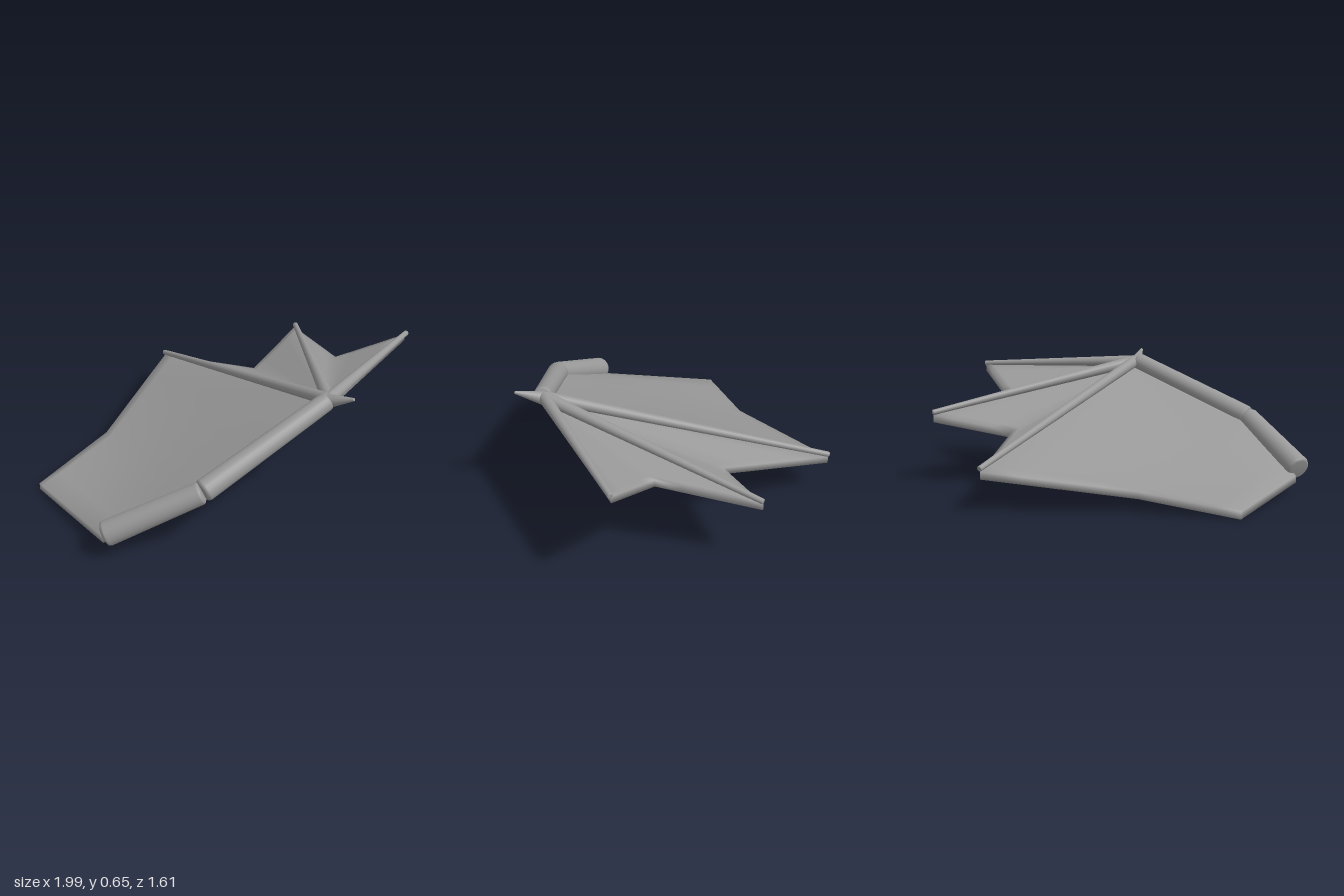
import * as THREE from 'three';

const V = (x, y, z) => new THREE.Vector3(x, y, z);

// Corner points on the upper face of the wing skin
const shoulder = V(-0.96, 0.10, 0.39);
const elbow = V(-0.56, 0.33, 0.62);
const wrist = V(0.16, 0.57, 0.66);
const frontEdge = [shoulder, elbow, wrist, wrist, wrist, wrist, wrist];
const rearEdge = [
  V(-0.96, 0.04, -0.255), V(-0.48, 0.105, -0.39), V(0.16, 0.20, -0.795),
  V(0.385, 0.295, -0.23), V(0.795, 0.365, -0.385), V(0.675, 0.43, 0.12), V(0.985, 0.56, 0.32),
];

// Closed thin skin between the front and rear edges, hanging slightly between arm and last finger
function membraneGeometry(thickness, sag) {
  const columns = [];
  for (let s = 0; s < rearEdge.length - 1; s++)
    for (const u of [0, 0.25, 0.5, 0.75])
      columns.push({
        a: frontEdge[s].clone().lerp(frontEdge[s + 1], u),
        b: rearEdge[s].clone().lerp(rearEdge[s + 1], u),
        drop: s < 2 ? sag * Math.sin(Math.PI * (s + u) / 2) : 0,
      });
  columns.push({ a: frontEdge.at(-1), b: rearEdge.at(-1), drop: 0 });

  const rows = [0, 0.03, 0.2, 0.4, 0.6, 0.8, 0.95, 1];
  const n = rows.length, ring = n * 2;
  const positions = [], index = [];
  for (const { a, b, drop } of columns) {
    const top = rows.map((v) => {
      const p = a.clone().lerp(b, v);
      p.y -= drop * Math.sin(Math.PI * v);
      return p;
    });
    for (const p of top) positions.push(p.x, p.y, p.z);
    for (const p of top.reverse()) positions.push(p.x, p.y - thickness, p.z);
  }
  const quad = (a, b, c, d) => index.push(a, b, c, b, d, c);
  for (let i = 0; i < columns.length - 1; i++)
    for (let k = 0; k < ring; k++) {
      const k2 = (k + 1) % ring, p = i * ring, q = p + ring;
      quad(p + k, q + k, p + k2, q + k2);
    }
  // End rims
  const last = (columns.length - 1) * ring;
  for (let k = 0; k < n - 1; k++) {
    const bottom = ring - 1 - k;
    quad(k, k + 1, bottom, bottom - 1);
    quad(last + k, last + bottom, last + k + 1, last + bottom - 1);
  }
  const geometry = new THREE.BufferGeometry();
  geometry.setAttribute('position', new THREE.Float32BufferAttribute(positions, 3));
  geometry.setIndex(index);
  geometry.computeVertexNormals();
  return geometry;
}

// Tapered rod with softened ends, running from one point to another
function bone(name, from, to, r0, r1, material) {
  const dir = to.clone().sub(from), len = dir.length();
  const profile = [
    [0, 0], [r0 * 0.75, 0], [r0 * 0.93, r0 * 0.1], [r0, r0 * 0.3],
    [r1, len - r1 * 0.3], [r1 * 0.93, len - r1 * 0.1], [r1 * 0.75, len], [0, len],
  ].map(([x, y]) => new THREE.Vector2(x, y));
  const mesh = new THREE.Mesh(new THREE.LatheGeometry(profile, 20), material);
  mesh.name = name;
  mesh.position.copy(from);
  mesh.quaternion.setFromUnitVectors(V(0, 1, 0), dir.normalize());
  return mesh;
}

export function createModel() {
  const group = new THREE.Group();
  group.name = 'wing';
  const grey = new THREE.MeshStandardMaterial({ color: 0x999999 });
  grey.name = 'wing grey';

  const membrane = new THREE.Mesh(membraneGeometry(0.037, 0.025), grey);
  membrane.name = 'membrane';
  group.add(membrane);

  // Arm bones
  const hand = V(0.165, 0.598, 0.66);
  group.add(bone('upperArm', V(-0.965, 0.13, 0.413), V(-0.56, 0.337, 0.642), 0.064, 0.056, grey));
  group.add(bone('forearm', V(-0.56, 0.337, 0.638), V(0.155, 0.598, 0.668), 0.057, 0.047, grey));

  // Finger bones
  const tips = [V(0.993, 0.567, 0.322), V(0.8, 0.38, -0.385), V(0.16, 0.215, -0.8)];
  tips.forEach((tip, i) => group.add(bone('finger' + (i + 1), hand, tip, 0.032, 0.014, grey)));

  // Thumb claw
  group.add(bone('thumbClaw', V(0.16, 0.585, 0.65), V(0.204, 0.65, 0.8), 0.036, 0.008, grey));
  return group;
}
